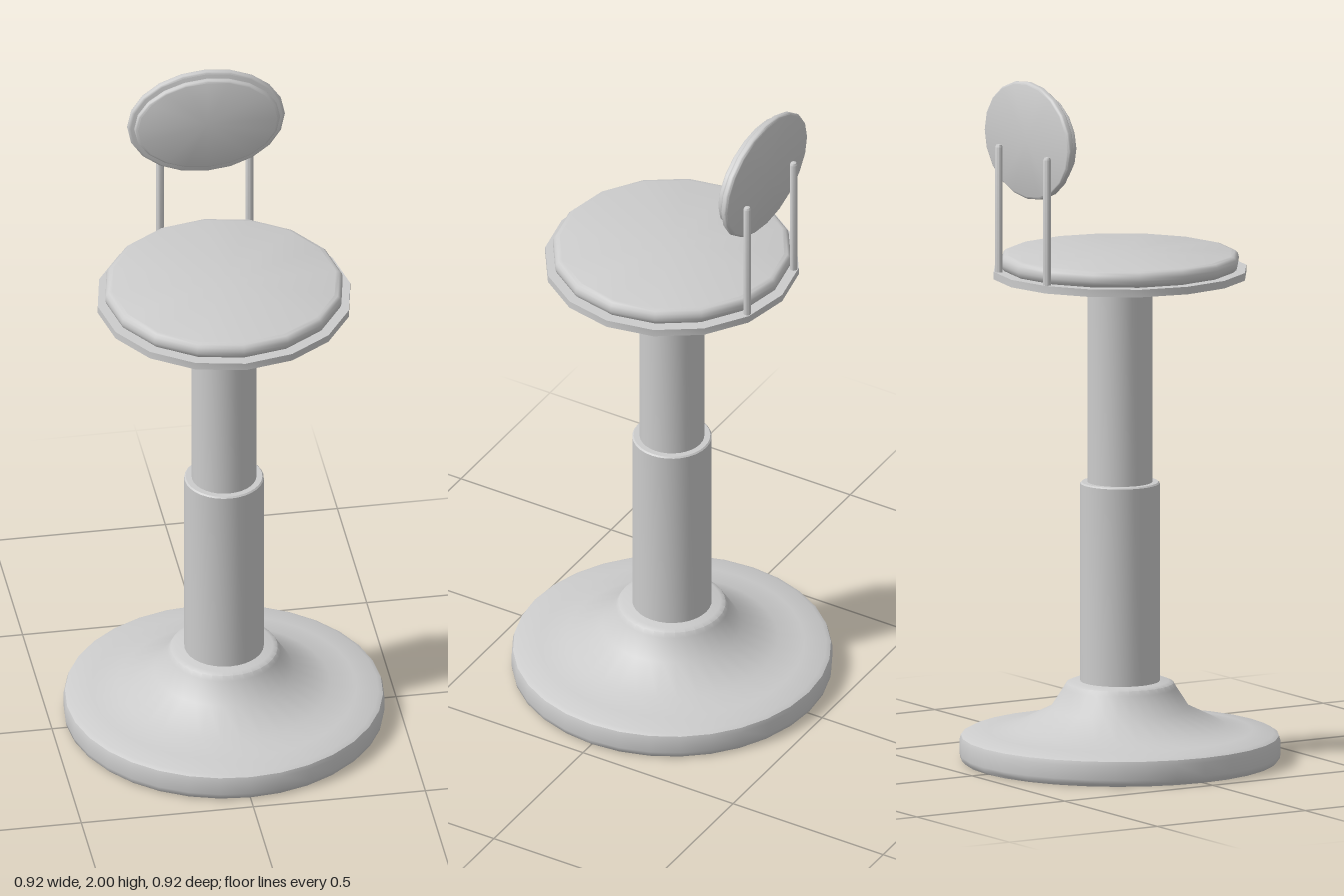
import * as THREE from 'three';
import { toCreasedNormals } from 'three/addons/utils/BufferGeometryUtils.js';

const material = new THREE.MeshStandardMaterial({ color: 0xcccccc });

// Turned solid from [radius, height] pairs, listed bottom to top
function turned(profile, sides) {
  const points = profile.map(([r, y]) => new THREE.Vector2(r, y));
  return new THREE.LatheGeometry(points, sides);
}

// Disc with rounded edges between two heights
function roundedDisc(radius, y0, y1, round, sides) {
  const profile = [[0, y0]];
  const steps = 3;
  for (const [cy, start] of [[y0 + round, -Math.PI / 2], [y1 - round, 0]]) {
    for (let i = 0; i <= steps; i++) {
      const a = start + (i / steps) * Math.PI / 2;
      profile.push([radius - round + round * Math.cos(a), cy + round * Math.sin(a)]);
    }
  }
  profile.push([0, y1]);
  return turned(profile, sides);
}

export function createModel() {
  const model = new THREE.Group();
  model.name = 'swivelStool';

  function add(name, geometry, parent = model) {
    const mesh = new THREE.Mesh(toCreasedNormals(geometry, 0.65), material);
    mesh.name = name;
    parent.add(mesh);
    return mesh;
  }

  // Flared pedestal foot
  add('base', turned([
    [0, 0], [0.45, 0], [0.458, 0.008], [0.46, 0.02], [0.46, 0.06], [0.456, 0.073], [0.443, 0.08],
    [0.38, 0.088], [0.305, 0.102], [0.2, 0.153], [0.162, 0.212], [0.154, 0.226], [0.14, 0.232], [0, 0.232],
  ], 32));

  // Telescopic column
  add('lowerColumn', turned([[0, 0.2], [0.114, 0.2], [0.114, 0.806], [0.11, 0.81], [0, 0.81]], 32));
  add('upperColumn', turned([[0, 0.78], [0.093, 0.78], [0.093, 1.415], [0, 1.415]], 32));

  // Seat plate and cushion
  add('seatPlate', turned([[0, 1.408], [0.367, 1.408], [0.367, 1.43], [0, 1.43]], 16));
  add('seatCushion', roundedDisc(0.345, 1.428, 1.476, 0.02, 16));

  // Oval backrest: shell behind, pad in front
  const backrest = new THREE.Group();
  backrest.name = 'backrest';
  model.add(backrest);
  function oval(name, rx, ry, y, z0, z1) {
    const geometry = roundedDisc(rx, z0, z1, 0.009, 20);
    geometry.rotateX(Math.PI / 2).scale(1, ry / rx, 1).translate(0, y, 0);
    add(name, geometry, backrest);
  }
  oval('backrestShell', 0.229, 0.17, 1.83, -0.318, -0.296);
  oval('backrestPad', 0.212, 0.148, 1.834, -0.297, -0.276);

  // Round-tipped support rods
  for (const [name, x] of [['leftRod', 0.13], ['rightRod', -0.13]]) {
    const rod = turned([
      [0, 1.425], [0.011, 1.425], [0.011, 1.794], [0.008, 1.8], [0, 1.803],
    ], 12);
    add(name, rod.translate(x, 0, -0.328), backrest);
  }

  return model;
}
